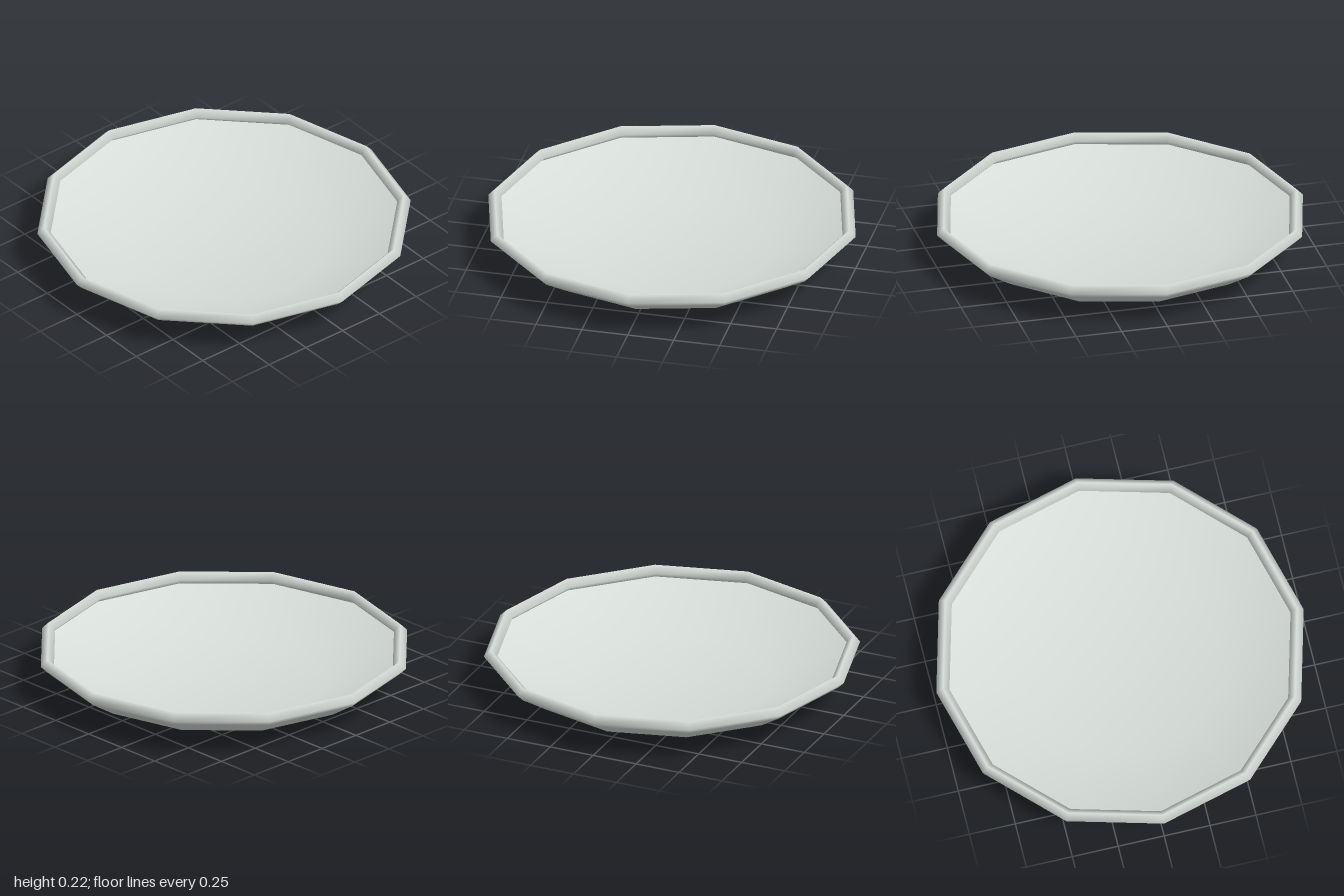
import * as THREE from 'three';

const SIDES = 12;

export function createModel() {
  const model = new THREE.Group();
  model.name = 'shallowDish';
  const material = new THREE.MeshStandardMaterial({ color: 0xd8deda });

  const addPart = (name, geometry) => {
    const mesh = new THREE.Mesh(geometry, material);
    mesh.name = name;
    model.add(mesh);
    return mesh;
  };
  const lathe = (points) =>
    new THREE.LatheGeometry(points.map(([r, y]) => new THREE.Vector2(r, y)), SIDES);

  // underside: flat base, then two sloping bands out to the rim
  addPart('underside', lathe([[0, 0], [0.545, 0], [0.82, 0.062], [0.965, 0.155]]));

  // inner surface: one even slope from the rim down to a slightly raised floor
  addPart('innerSurface', lathe([[0.96, 0.16], [0.545, 0.015], [0, 0.015]]));

  // diamond-section rim ring resting on the bowl edge
  const ring = new THREE.TorusGeometry(0.964, 0.036, 4, SIDES);
  ring.rotateX(Math.PI / 2);
  addPart('rim', ring).position.y = 0.189;

  return model;
}
